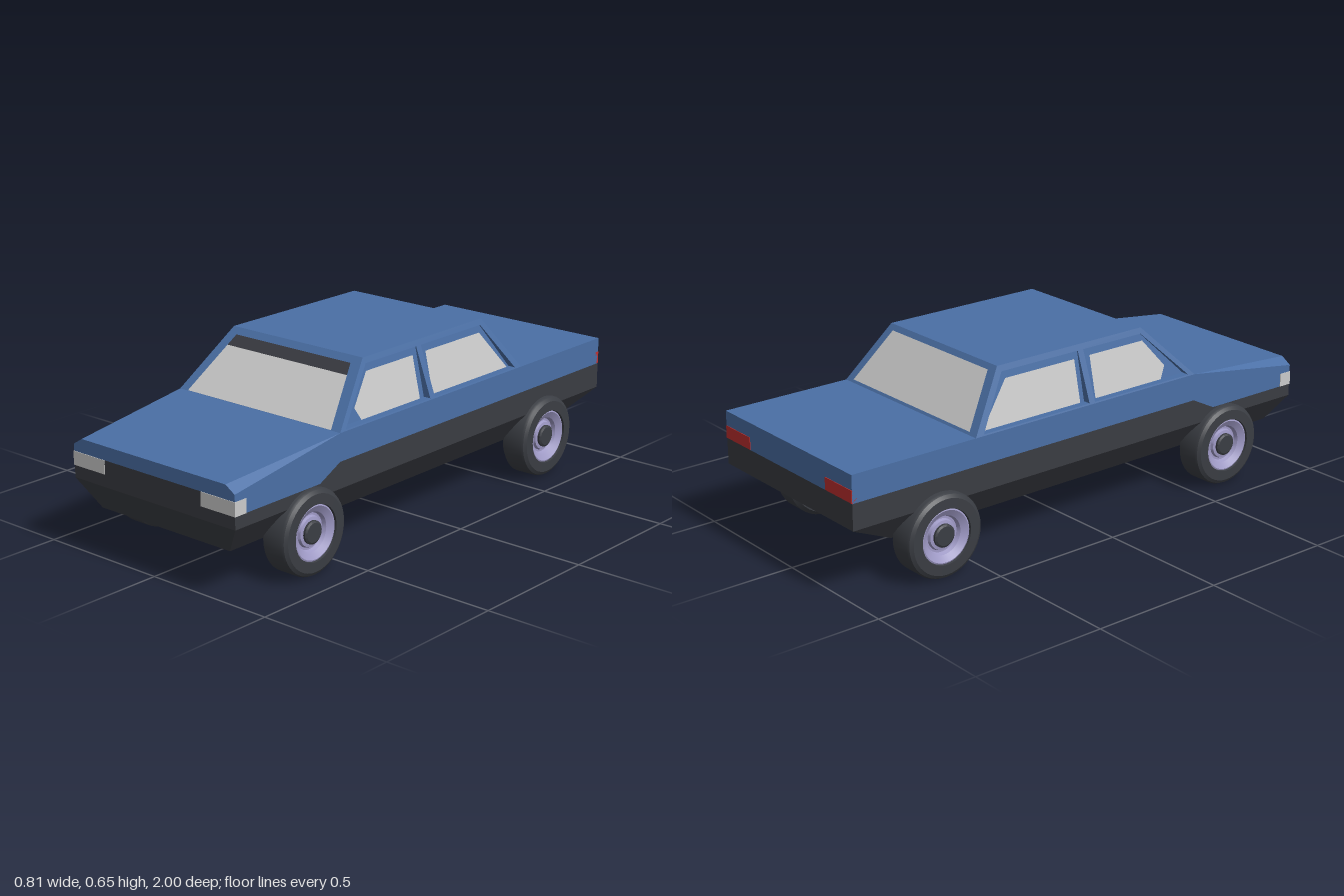
import * as THREE from 'three';
import { toCreasedNormals } from 'three/addons/utils/BufferGeometryUtils.js';

const mat = (color, flatShading = true) => new THREE.MeshStandardMaterial({ color, flatShading });
const BLUE = mat(0x4a6fa5), DARK = mat(0x3a3c42), GLASS = mat(0xcccccc), RED = mat(0xc03030);
const TYRE = mat(0x3a3d43, false), RIM = mat(0x9f9ac6, false);

const W = 0.375; // half width of the body
const SILL = 0.455, ROOF = 0.655;
const t = (y) => (y - SILL) / (ROOF - SILL);
const outerX = (y) => W - 0.075 * t(y); // cabin outer side
const innerX = (y) => 0.345 - 0.046 * t(y); // recessed door plane
const frontZ = (y) => 0.5 - 0.2 * t(y);
const rearZ = (y) => -0.5 + 0.15 * t(y);

// Convex panels given for the +x half, mirrored to the other half
function panels(name, material, list) {
  const pos = [];
  const fan = (p) => {
    for (let i = 1; i < p.length - 1; i++) pos.push(...p[0], ...p[i], ...p[i + 1]);
  };
  for (const p of list) {
    fan(p);
    fan(p.map(([x, y, z]) => [-x, y, z]).reverse());
  }
  const geo = new THREE.BufferGeometry();
  geo.setAttribute('position', new THREE.Float32BufferAttribute(pos, 3));
  geo.computeVertexNormals();
  const mesh = new THREE.Mesh(geo, material);
  mesh.name = name;
  return mesh;
}
// Side outline of [z, y] points at a constant or height-dependent x
const side = (x, pts) => pts.map(([z, y]) => [typeof x === 'function' ? x(y) : x, y, z]);

// Cabin side frame: outline with window openings, stretched between the inner and outer planes
function sideFrame(s) {
  const path = (pts) => pts.map(([z, y]) => new THREE.Vector2(-s * z, y));
  const shape = new THREE.Shape(path([[0.5, SILL], [-0.5, SILL], [-0.35, ROOF], [0.3, ROOF]]));
  shape.holes.push(
    new THREE.Path(path([[0.025, 0.46], [0.47, 0.46], [0.293, 0.635], [0.025, 0.635]])),
    new THREE.Path(path([[0, 0.46], [0, 0.635], [-0.337, 0.635], [-0.465, 0.46]])));
  const geo = new THREE.ExtrudeGeometry(shape, { depth: 1, bevelEnabled: false });
  const p = geo.attributes.position;
  for (let i = 0; i < p.count; i++) {
    const u = p.getX(i), y = p.getY(i), d = p.getZ(i);
    p.setXYZ(i, s * THREE.MathUtils.lerp(innerX(y), outerX(y), d), y, -s * u);
  }
  geo.computeVertexNormals();
  const mesh = new THREE.Mesh(geo, BLUE);
  mesh.name = s > 0 ? 'leftWindowFrame' : 'rightWindowFrame';
  return mesh;
}

function box(name, material, size, at) {
  const mesh = new THREE.Mesh(new THREE.BoxGeometry(...size), material);
  mesh.position.set(...at);
  mesh.name = name;
  return mesh;
}

function lathe(name, material, pts) {
  const geo = new THREE.LatheGeometry(pts.map(([r, h]) => new THREE.Vector2(r, h)), 40);
  const mesh = new THREE.Mesh(toCreasedNormals(geo, 0.5), material);
  mesh.name = name;
  return mesh;
}

function wheel(s, z) {
  const g = new THREE.Group();
  g.name = (z > 0 ? 'front' : 'rear') + (s > 0 ? 'Left' : 'Right') + 'Wheel';
  g.add(
    lathe('tyre', TYRE, [[0, -0.055], [0.138, -0.055], [0.1525, -0.04], [0.1525, 0.037],
      [0.148, 0.046], [0.136, 0.054], [0.1, 0.055], [0.096, 0.03]]),
    lathe('rim', RIM, [[0.098, 0.048], [0.093, 0.05], [0.07, 0.036], [0.064, 0.022],
      [0.056, 0.022], [0.052, 0.032], [0.03, 0.036]]),
    lathe('hub', TYRE, [[0.041, 0.02], [0.041, 0.042], [0.034, 0.046], [0, 0.046]]));
  g.rotation.z = -s * Math.PI / 2;
  g.position.set(s * 0.35, 0.1525, z);
  return g;
}

export function createModel() {
  const model = new THREE.Group();
  model.name = 'sedan';
  const body = new THREE.Group();
  body.name = 'body';
  body.position.x = 0.003;
  model.add(body);

  // Dark lower body, skirts and floor
  body.add(panels('lowerBody', DARK, [
    side(W, [[1, 0.26], [0.6, 0.26], [0.6, 0.305], [1, 0.305]]),
    side(W, [[0.6, 0.26], [-1, 0.26], [-1, 0.355], [0.5, 0.355], [0.6, 0.305]]),
    [[0.3, 0.155, 0.95], [0.3, 0.155, -0.8], [W, 0.26, -1], [W, 0.26, 1]],
    [[0, 0.155, 0.95], [0.3, 0.155, 0.95], [W, 0.26, 1], [0, 0.26, 1]],
    [[0, 0.26, 1], [W, 0.26, 1], [W, 0.355, 1], [0, 0.355, 1]],
    [[0, 0.155, 0.95], [0, 0.155, -0.8], [0.3, 0.155, -0.8], [0.3, 0.155, 0.95]],
    [[0, 0.26, -1], [W, 0.26, -1], [0.3, 0.155, -0.8], [0, 0.155, -0.8]],
    [[0, 0.26, -1], [0, 0.355, -1], [W, 0.355, -1], [W, 0.26, -1]],
  ]));

  // Painted upper body: flanks, nose, chamfered bonnet, boot
  body.add(panels('upperBody', BLUE, [
    side(W, [[0.5, 0.355], [-1, 0.355], [-1, SILL], [0.5, SILL]]),
    side(W, [[1, 0.305], [0.6, 0.305], [0.5, 0.355], [0.5, SILL], [1, 0.38]]),
    [[0, 0.355, 1], [W, 0.355, 1], [W, 0.38, 1], [0.335, 0.405, 1], [0, 0.405, 1]],
    [[W, 0.38, 1], [W, SILL, 0.5], [0.335, 0.405, 1]],
    [[0, 0.405, 1], [0.335, 0.405, 1], [W, SILL, 0.5], [0, SILL, 0.5]],
    [[0, SILL, 0.5], [W, SILL, 0.5], [W, SILL, -1], [0, SILL, -1]],
    [[0, 0.355, -1], [0, SILL, -1], [W, SILL, -1], [W, 0.355, -1]],
  ]));

  // Cabin core with recessed sides
  const a = innerX(SILL), b = 0.3;
  body.add(panels('cabin', BLUE, [
    [[0, SILL, 0.5], [a, SILL, 0.5], [b, ROOF, 0.3], [0, ROOF, 0.3]],
    [[0, ROOF, 0.3], [b, ROOF, 0.3], [b, ROOF, -0.35], [0, ROOF, -0.35]],
    [[0, ROOF, -0.35], [b, ROOF, -0.35], [a, SILL, -0.5], [0, SILL, -0.5]],
    side(innerX, [[0.5, SILL], [-0.5, SILL], [-0.35, ROOF], [0.3, ROOF]]),
  ]));
  for (const s of [1, -1]) body.add(sideFrame(s));

  // Glass, laid just proud of the panels behind it
  const pane = (y0, w0, y1, w1, zAt, lift) => {
    const p = [[0, y0], [w0, y0], [w1, y1], [0, y1]].map(([x, y]) => [x, y, zAt(y) + lift]);
    return lift > 0 ? p : p.reverse();
  };
  const glassX = (y) => innerX(y) + 0.003;
  body.add(
    panels('windscreen', GLASS, [pane(0.457, 0.335, 0.602, 0.279, frontZ, 0.003)]),
    panels('sunStrip', DARK, [pane(0.602, 0.279, 0.635, 0.266, frontZ, 0.003)]),
    panels('rearWindow', GLASS, [pane(0.465, 0.335, 0.638, 0.27, rearZ, -0.003)]),
    panels('frontSideWindows', GLASS, [
      side(glassX, [[0.36, 0.46], [0.05, 0.46], [0.05, 0.61], [0.297, 0.61], [0.385, 0.505]])]),
    panels('rearSideWindows', GLASS, [
      side(glassX, [[-0.02, 0.46], [-0.45, 0.46], [-0.325, 0.61], [-0.02, 0.61]])]));

  // Lights and wheels
  for (const s of [1, -1]) {
    body.add(
      box('headlight', GLASS, [0.152, 0.05, 0.052], [s * 0.301, 0.33, 0.976]),
      box('tailLight', RED, [0.15, 0.045, 0.02], [s * 0.3, 0.379, -0.992]));
    for (const z of [0.65, -0.65]) model.add(wheel(s, z));
  }
  return model;
}
